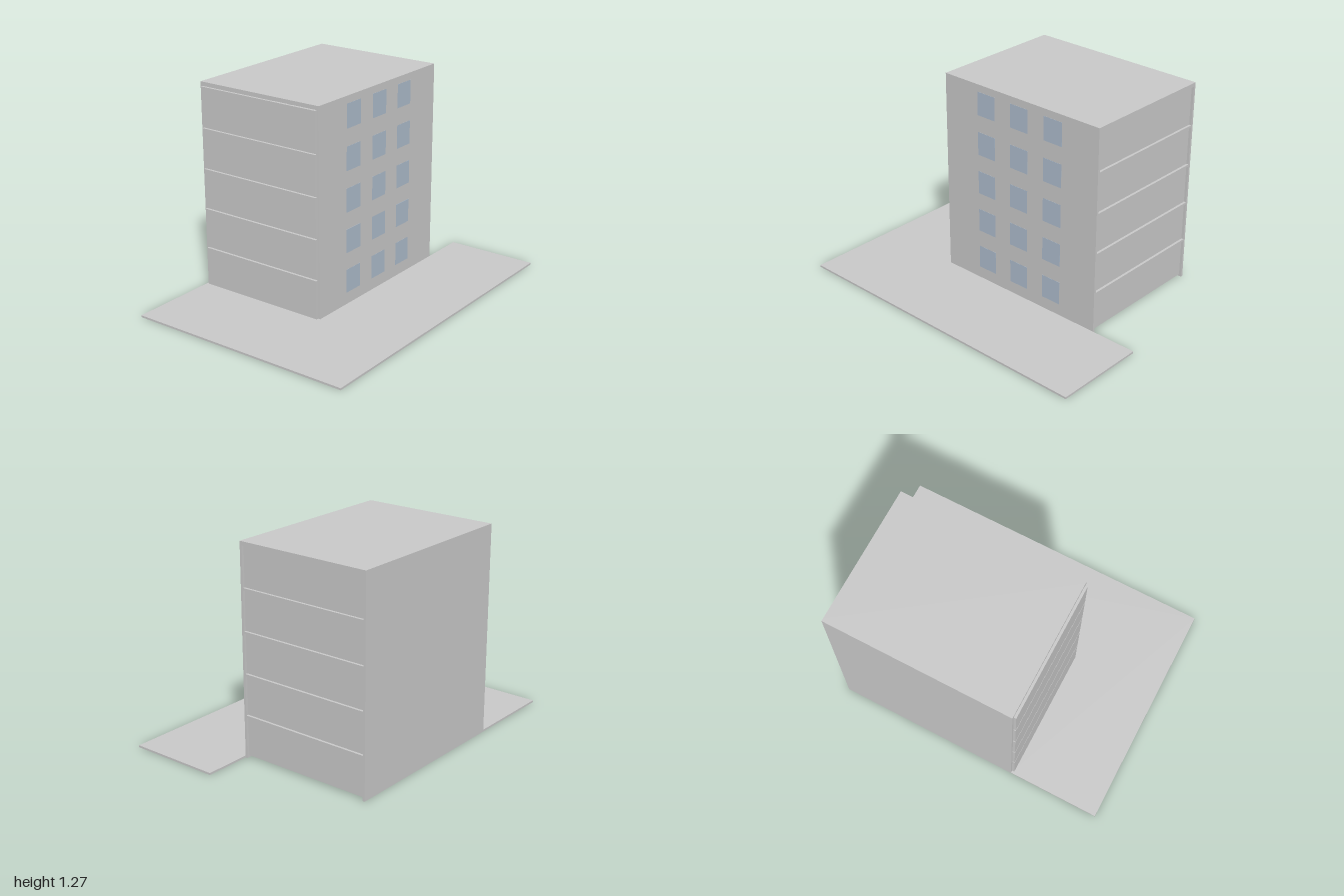
import * as THREE from 'three';

const concrete = new THREE.MeshStandardMaterial({ color: 0xc8c8c8 });
concrete.name = 'concrete grey';
const glass = new THREE.MeshStandardMaterial({ color: 0xacbbcb });
glass.name = 'window blue';

// Box given by its min and max on each axis
function box(parent, name, material, [x0, x1], [y0, y1], [z0, z1]) {
  const mesh = new THREE.Mesh(new THREE.BoxGeometry(x1 - x0, y1 - y0, z1 - z0), material);
  mesh.position.set((x0 + x1) / 2, (y0 + y1) / 2, (z0 + z1) / 2);
  mesh.name = name;
  parent.add(mesh);
  return mesh;
}

export function createModel() {
  const model = new THREE.Group();
  model.name = 'apartmentBlock';

  const X0 = -0.43, X1 = 0.712, Z0 = -0.714, Z1 = 0.142;
  const wall = 0.014, slab = 0.013, storey = 0.25, floors = 5, top = 1.275;
  const inner = [Z0 + wall, Z1 - wall];

  // L-shaped pavement around the front and one side
  const outline = [[-1, -0.714], [X0, -0.714], [X0, Z1], [1, Z1], [1, 0.714], [-1, 0.714]];
  const shape = new THREE.Shape(outline.map(([x, z]) => new THREE.Vector2(x, -z)));
  const pavement = new THREE.Mesh(
    new THREE.ExtrudeGeometry(shape, { depth: 0.012, bevelEnabled: false }), concrete);
  pavement.rotation.x = -Math.PI / 2;
  pavement.name = 'pavement';
  model.add(pavement);

  // Front and back walls, and the roof between them
  box(model, 'frontWall', concrete, [X0, X1], [0, top], [Z1 - wall, Z1]);
  box(model, 'backWall', concrete, [X0, X1], [0, top], [Z0, Z0 + wall]);
  box(model, 'roof', concrete, [X0, X1], [top - 0.024, top], inner);

  for (let i = 0; i < floors; i++) {
    const storeyGroup = new THREE.Group();
    storeyGroup.name = 'storey' + (i + 1);
    model.add(storeyGroup);
    const y0 = i * storey + 0.013, y1 = (i + 1) * storey;

    // Floor slab above this storey
    if (i < floors - 1) box(storeyGroup, 'floorSlab', concrete, [X0, X1], [y1, y1 + slab], inner);

    // Side panels: outside the slabs on the right, recessed on the left
    box(storeyGroup, 'rightPanel', concrete, [X0 - 0.015, X0], [y0, y1], inner);
    box(storeyGroup, 'leftPanel', concrete, [X1 - 0.03, X1 - 0.015], [y0, y1], inner);

    // Columns along the middle of the plan
    for (const x of [-0.145, 0.14, 0.425]) {
      box(storeyGroup, 'column', concrete, [x - 0.012, x + 0.012], [y0, y1], [-0.298, -0.274]);
    }

    // Windows, the first of each row showing on the inside too
    [-0.11, 0.14, 0.39].forEach((x, k) => {
      const width = [x - 0.066, x + 0.066];
      const height = [i * storey + 0.085, i * storey + 0.23];
      box(storeyGroup, 'window', glass, width, height, [Z1 - 0.002, Z1 + 0.001]);
      if (k === 0) {
        box(storeyGroup, 'windowInside', glass, width, height, [Z1 - wall - 0.001, Z1 - wall + 0.002]);
      }
    });
  }
  return model;
}
